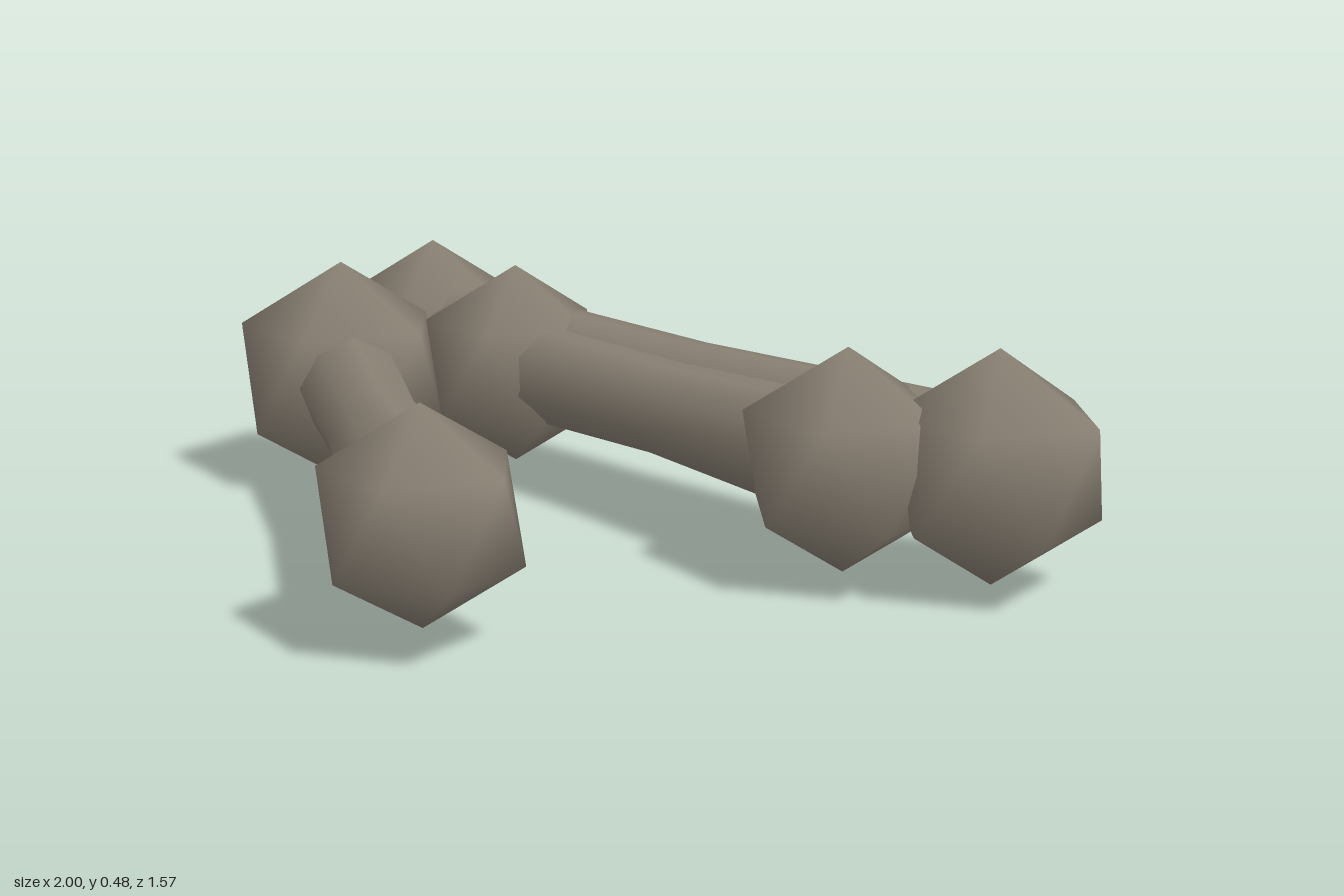
import * as THREE from 'three';

const CENTER_Y = 0.242;

// Twelve-cornered knob with poles on the y axis and smooth normals
function knobGeometry(r) {
  const pos = [0, r, 0], idx = [];
  const h = r / Math.sqrt(5), ring = 2 * h;
  for (let row = 0; row < 2; row++) {
    for (let i = 0; i < 5; i++) {
      const a = (i + row * 0.5) * Math.PI * 0.4;
      pos.push(ring * Math.cos(a), row ? -h : h, ring * Math.sin(a));
    }
  }
  pos.push(0, -r, 0);
  for (let i = 0; i < 5; i++) {
    const j = (i + 1) % 5;
    const u = 1 + i, u2 = 1 + j, l = 6 + i, l2 = 6 + j;
    idx.push(0, u2, u, u, u2, l, l, u2, l2, 11, l, l2);
  }
  const g = new THREE.BufferGeometry();
  g.setAttribute('position', new THREE.Float32BufferAttribute(pos, 3));
  g.setIndex(idx);
  g.computeVertexNormals();
  return g;
}

// One bone: two knobs joined by a shaft with a narrow middle
function makeBone({ name, start, end, knobs, shaft }, material) {
  const bone = new THREE.Group();
  bone.name = name;
  const ends = [start, end].map(([x, z]) => new THREE.Vector3(x, CENTER_Y, z));
  ends.forEach((p, i) => {
    const knob = new THREE.Mesh(knobGeometry(knobs[i]), material);
    knob.name = i ? 'endKnob' : 'startKnob';
    knob.position.copy(p);
    bone.add(knob);
  });

  const dir = ends[1].clone().sub(ends[0]);
  const len = dir.length();
  const profile = shaft.map((r, i) => new THREE.Vector2(r, (i - 1) * len / 2));
  const mesh = new THREE.Mesh(new THREE.LatheGeometry(profile, 8), material);
  mesh.name = 'shaft';
  mesh.position.copy(ends[0]).add(ends[1]).multiplyScalar(0.5);
  mesh.quaternion.setFromUnitVectors(new THREE.Vector3(0, 1, 0), dir.normalize());
  bone.add(mesh);
  return bone;
}

export function createModel() {
  const boneMaterial = new THREE.MeshStandardMaterial({ color: 0x8a8174 });
  boneMaterial.name = 'boneGrey';

  const model = new THREE.Group();
  model.name = 'bonePile';
  // start and end are [x, z]; shaft radii run start, middle, end
  const bones = [
    { name: 'longBone', start: [-0.803, -0.596], end: [0.792, -0.265], knobs: [0.222, 0.2275], shaft: [0.145, 0.12, 0.128] },
    { name: 'middleBone', start: [-0.47, -0.465], end: [0.538, -0.15], knobs: [0.2185, 0.2185], shaft: [0.112, 0.098, 0.12] },
    { name: 'frontBone', start: [-0.723, -0.179], end: [0.131, 0.615], knobs: [0.241, 0.2035], shaft: [0.115, 0.098, 0.126] },
  ];
  for (const b of bones) model.add(makeBone(b, boneMaterial));
  return model;
}
